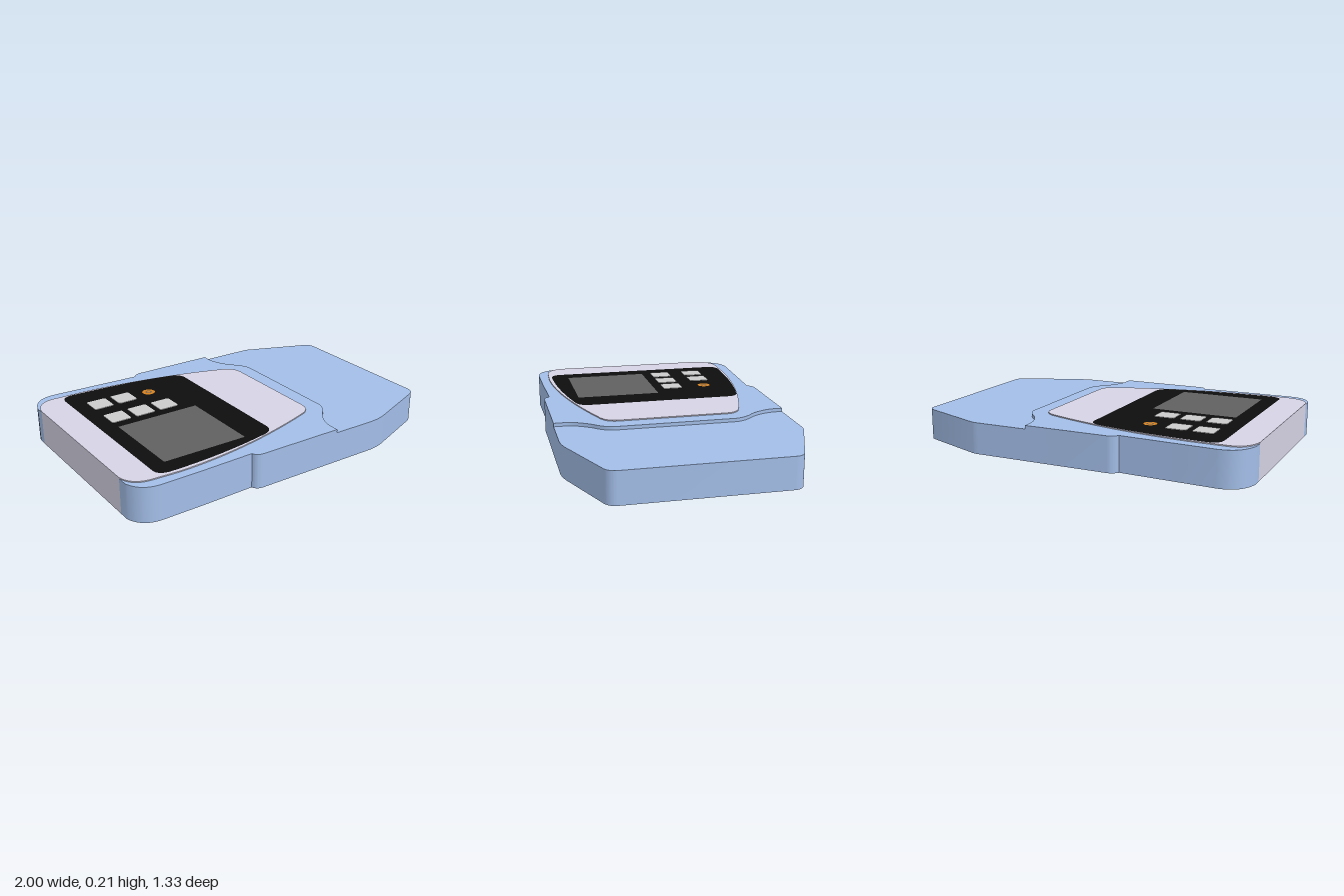
import * as THREE from 'three';
import { toCreasedNormals } from 'three/addons/utils/BufferGeometryUtils.js';

const mat = (color) => new THREE.MeshStandardMaterial({ color, side: THREE.DoubleSide });

// Plan curves are drawn as (x, -z): 2 numbers = line, 4 = quadratic, 6 = cubic
function trace(...steps) {
  const path = new THREE.Path();
  steps.forEach((s, i) => {
    if (i === 0) path.moveTo(...s);
    else if (s.length === 2) path.lineTo(...s);
    else if (s.length === 4) path.quadraticCurveTo(...s);
    else path.bezierCurveTo(...s);
  });
  return path.getPoints(14);
}

// Flat horizontal sheet at height y
function sheet(points, y, holes = []) {
  const shape = new THREE.Shape(points);
  shape.holes = holes.map((h) => new THREE.Path(h));
  return new THREE.ShapeGeometry(shape).rotateX(-Math.PI / 2).translate(0, y, 0);
}

// Vertical wall following a plan curve (counter-clockwise faces outward)
function wall(points, y0, y1) {
  const pos = [];
  for (let i = 0; i < points.length - 1; i++) {
    const a = points[i], b = points[i + 1];
    if (a.distanceTo(b) < 1e-6) continue;
    pos.push(a.x, y0, -a.y, b.x, y0, -b.y, b.x, y1, -b.y);
    pos.push(a.x, y0, -a.y, b.x, y1, -b.y, a.x, y1, -a.y);
  }
  const g = new THREE.BufferGeometry();
  g.setAttribute('position', new THREE.Float32BufferAttribute(pos, 3));
  return toCreasedNormals(g, 0.5);
}

// Rounded rectangle centred on (x, z)
function roundRect(x, z, w, d, r) {
  const l = x - w / 2, e = x + w / 2, b = -z - d / 2, t = -z + d / 2;
  return trace([l + r, b], [e - r, b], [e, b, e, b + r], [e, t - r], [e, t, e - r, t],
    [l + r, t], [l, t, l, t - r], [l, b + r], [l, b, l + r, b]);
}

const circle = (x, z, r) => new THREE.Path().absarc(x, -z, r, 0, Math.PI * 2).getPoints(16);

export function createModel() {
  const model = new THREE.Group();
  const blue = mat(0xa3bee8), lavender = mat(0xd5d3e5), black = mat(0x0d0d0d);
  const grey = mat(0x606060), keyGrey = mat(0xbcbcbc), orange = mat(0xd9801a);
  const add = (name, geometry, material) => {
    const mesh = new THREE.Mesh(geometry, material);
    mesh.name = name;
    model.add(mesh);
  };
  const LOW = 0.18, HIGH = 0.2, PANEL = 0.206, KEY = 0.209;

  // Plan outline of the case, in counter-clockwise pieces
  const frontSide = trace([-1, -0.47], [-1, -0.53], [-0.97, -0.635, -0.86, -0.637],
    [-0.6, -0.634], [-0.31, -0.625], [-0.3, -0.66, -0.26, -0.66], [0.24, -0.66]);
  const rightEnd = trace([0.24, -0.66], [0.49, -0.66], [0.56, -0.66, 0.63, -0.63],
    [0.95, -0.505], [1, -0.485, 1, -0.44], [1, 0.46], [1, 0.5, 0.96, 0.52],
    [0.59, 0.664], [0.57, 0.67, 0.55, 0.67], [0.24, 0.67]);
  const backSide = trace([0.24, 0.67], [-0.25, 0.67], [-0.28, 0.67, -0.305, 0.637],
    [-0.6, 0.65], [-0.84, 0.66], [-0.97, 0.66, -1, 0.52], [-1, 0.47]);
  const stepEdge = trace([0.24, -0.66], [0.24, -0.59], [0.245, -0.53, 0.31, -0.45],
    [0.375, -0.395, 0.375, -0.33], [0.375, 0.34], [0.375, 0.4, 0.31, 0.46],
    [0.245, 0.54, 0.24, 0.62], [0.24, 0.67]);
  const panelEdge = trace([-1, -0.47], [-0.98, -0.57, -0.87, -0.575], [-0.72, -0.582],
    [-0.3, -0.575, 0.2, -0.4], [0.28, -0.375, 0.28, -0.3], [0.28, 0.32],
    [0.28, 0.385, 0.21, 0.415], [-0.2, 0.56, -0.66, 0.59], [-0.88, 0.593],
    [-0.98, 0.585, -1, 0.47]);

  // Open-bottomed case
  add('frontWall', wall(frontSide, 0, HIGH), blue);
  add('backWall', wall(backSide, 0, HIGH), blue);
  add('rightEndWall', wall(rightEnd, 0, LOW), blue);
  add('stepWall', wall(stepEdge, LOW, HIGH), blue);
  add('upperDeck', sheet([...frontSide, ...stepEdge, ...backSide,
    ...panelEdge.slice().reverse()], HIGH), blue);
  add('lowerDeck', sheet([...rightEnd, ...stepEdge.slice().reverse()], LOW), blue);

  // Pale panel that folds down over the left end
  const bezelEdge = trace([-0.83, -0.5], [-0.83, -0.56, -0.75, -0.56],
    [-0.45, -0.56, -0.13, -0.49], [-0.06, -0.475, -0.06, -0.41], [-0.06, 0.44],
    [-0.06, 0.49, -0.12, 0.507], [-0.4, 0.572, -0.76, 0.58], [-0.83, 0.58, -0.83, 0.51],
    [-0.83, -0.5]);
  add('panelTop', sheet(panelEdge, PANEL, [bezelEdge]), lavender);
  add('panelRim', wall(panelEdge, HIGH, PANEL), lavender);
  add('panelEndWall', wall(trace([-1, 0.47], [-1, -0.47]), 0, PANEL), lavender);

  // Black bezel with display and indicator set into it
  const screen = roundRect(-0.485, 0.208, 0.5, 0.495, 0.003);
  const lamp = circle(-0.36, -0.365, 0.038), lampCore = circle(-0.36, -0.365, 0.02);
  const lampDot = circle(-0.36, -0.365, 0.012);
  add('bezel', sheet(bezelEdge, PANEL, [screen, lamp]), black);
  add('display', sheet(screen, PANEL), grey);
  add('indicatorRing', sheet(lamp, PANEL, [lampCore]), orange);
  add('indicatorGroove', sheet(lampCore, PANEL, [lampDot]), grey);
  add('indicatorCentre', sheet(lampDot, PANEL), orange);

  // Two rows of keys
  for (const [z, count] of [[-0.367, 2], [-0.155, 3]]) {
    for (let i = 0; i < count; i++) {
      const edge = roundRect(-0.68 + i * 0.153, z, 0.12, 0.12, 0.015);
      add('keyTop', sheet(edge, KEY), keyGrey);
      add('keyRim', wall(edge, PANEL, KEY), keyGrey);
    }
  }
  return model;
}
